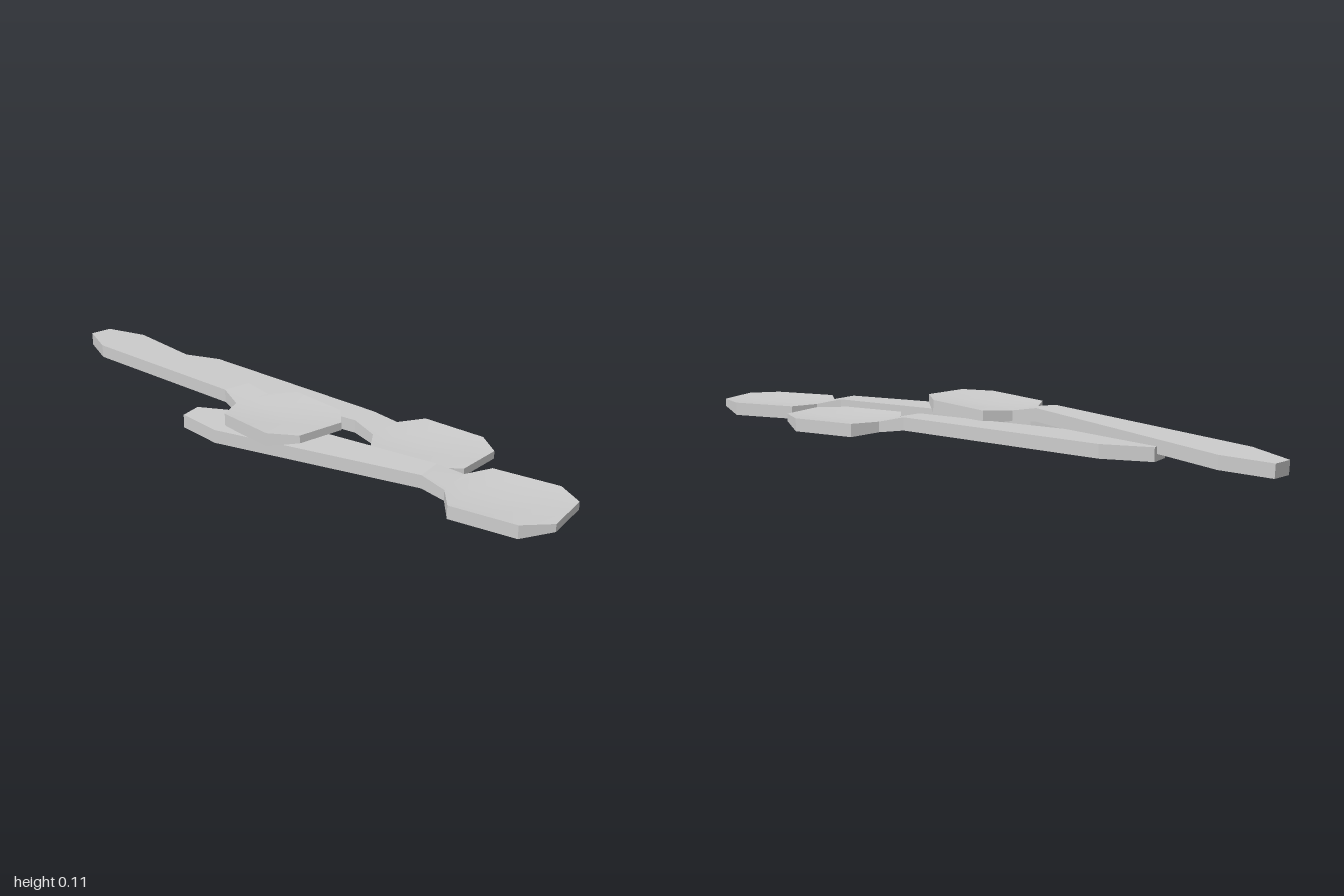
import * as THREE from 'three';
import { toCreasedNormals } from 'three/addons/utils/BufferGeometryUtils.js';

// Cross-sections from bowl end to handle tip:
// distance, half width, underside height, top height, dip of the middle
const SECTIONS = [
  [0, 0.077, 0.026, 0.05, 0],
  [0.08, 0.138, 0.009, 0.05, 0.009],
  [0.185, 0.138, 0.009, 0.05, 0.013],
  [0.29, 0.138, 0.009, 0.05, 0.009],
  [0.34, 0.06, 0.017, 0.05, 0],
  [0.42, 0.045, 0.027, 0.068, 0],
  [1.1, 0.083, 0.011, 0.053, 0],
  [1.25, 0.036, 0.008, 0.05, 0],
];

function spoonGeometry() {
  const positions = [];
  const index = [];
  const quad = (a, b, c, d) => index.push(a, b, c, a, c, d);

  // Six points around each section, counter-clockwise from the bowl end
  for (const [t, w, low, high, dip] of SECTIONS) {
    positions.push(-w, low, -t, 0, low, -t, w, low, -t);
    positions.push(w, high, -t, 0, high - dip, -t, -w, high, -t);
  }
  for (let i = 0; i < SECTIONS.length - 1; i++) {
    for (let j = 0; j < 6; j++) {
      const k = (j + 1) % 6;
      quad(i * 6 + j, i * 6 + 6 + j, i * 6 + 6 + k, i * 6 + k);
    }
  }
  // End faces
  const n = (SECTIONS.length - 1) * 6;
  quad(0, 1, 4, 5);
  quad(1, 2, 3, 4);
  quad(n + 5, n + 4, n + 1, n);
  quad(n + 4, n + 3, n + 2, n + 1);

  const geometry = new THREE.BufferGeometry();
  geometry.setAttribute('position', new THREE.Float32BufferAttribute(positions, 3));
  geometry.setIndex(index);
  return toCreasedNormals(geometry, 0.21);
}

export function createModel() {
  const group = new THREE.Group();
  group.name = 'spoonPile';
  const geometry = spoonGeometry();
  const material = new THREE.MeshStandardMaterial({ color: 0xcccccc });

  // Position of the bowl end, turn about y, and tilt (negative lowers the handle)
  const spoons = [
    ['topSpoon', [-0.128, 0.061, 0.225], -0.212, -0.054],
    ['leftSpoon', [0.1085, 0, 0.62], 0, 0],
    ['rightSpoon', [-0.02, 0.004, 0.99], 0.132, 0],
  ];
  for (const [name, position, turn, tilt] of spoons) {
    const spoon = new THREE.Mesh(geometry, material);
    spoon.name = name;
    spoon.position.set(...position);
    spoon.rotation.set(tilt, turn, 0, 'YXZ');
    group.add(spoon);
  }
  return group;
}
